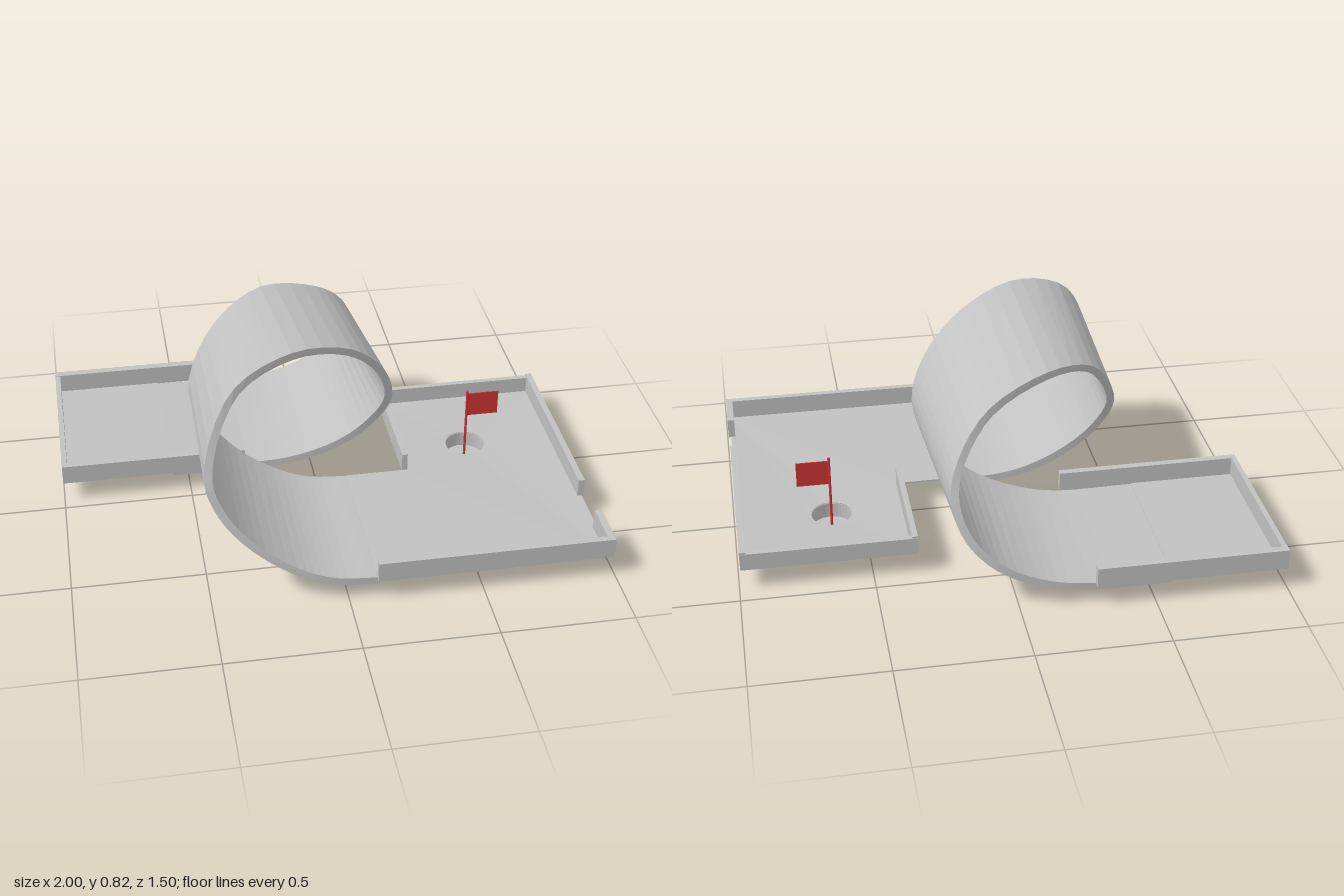
import * as THREE from 'three';

const grey = new THREE.MeshStandardMaterial({ color: 0xc0c0c0, flatShading: true });
grey.name = 'course grey';
const red = new THREE.MeshStandardMaterial({ color: 0xcc3333 });
red.name = 'flag red';

const V = (p) => new THREE.Vector3(...p);

function add(parent, name, geometry, material) {
  const mesh = new THREE.Mesh(geometry, material);
  mesh.name = name;
  parent.add(mesh);
  return mesh;
}

// Box given by its limits along each axis
function slab(parent, name, x0, x1, y0, y1, z0, z1, material = grey) {
  const g = new THREE.BoxGeometry(x1 - x0, y1 - y0, z1 - z0);
  g.translate((x0 + x1) / 2, (y0 + y1) / 2, (z0 + z1) / 2);
  return add(parent, name, g, material);
}

// Band swept between two edge curves, thickened towards the inside of the loop
function loopGeometry(front, back, thickness, steps) {
  const curves = [front, back].map((pts) => new THREE.CatmullRomCurve3(pts.map(V)));
  const sections = [];
  for (let i = 0; i <= steps; i++) {
    const [[fo, fi], [bo, bi]] = curves.map((c) => {
      const p = c.getPoint(i / steps);
      const t = c.getTangent(i / steps).setZ(0).normalize();
      return [p, new THREE.Vector3(p.x - t.y * thickness, p.y + t.x * thickness, p.z)];
    });
    sections.push([fo, fi, bi, bo]);
  }
  const pos = [];
  const quad = (a, b, c, d) => [a, b, c, a, c, d].forEach((p) => pos.push(p.x, p.y, p.z));
  for (let i = 0; i < steps; i++) {
    const s = sections[i], n = sections[i + 1];
    for (let k = 0; k < 4; k++) {
      const m = (k + 1) % 4;
      quad(s[k], n[k], n[m], s[m]);
    }
  }
  quad(...sections[0]);
  quad(...[...sections[steps]].reverse());
  const g = new THREE.BufferGeometry();
  g.setAttribute('position', new THREE.Float32BufferAttribute(pos, 3));
  g.computeVertexNormals();
  return g;
}

export function createModel() {
  const model = new THREE.Group();
  model.name = 'miniature golf loop';

  // Loop: outer line of the front edge and of the back edge
  const frontEdge = [
    [-0.57, 0.05, -0.08], [-0.25, 0.05, -0.075], [-0.08, 0.08, -0.05], [0.09, 0.155, -0.02],
    [0.21, 0.27, 0.02], [0.28, 0.43, 0.08], [0.245, 0.58, 0.12], [0.1, 0.74, 0.2],
    [-0.15, 0.82, 0.32], [-0.38, 0.74, 0.42], [-0.5, 0.49, 0.57], [-0.455, 0.34, 0.615],
    [-0.34, 0.205, 0.655], [-0.18, 0.1, 0.69], [-0.05, 0.06, 0.71], [0.11, 0.05, 0.72],
  ];
  const backEdge = [
    [-0.57, 0.05, -0.72], [-0.25, 0.05, -0.715], [-0.08, 0.075, -0.7], [0.08, 0.15, -0.68],
    [0.185, 0.26, -0.645], [0.23, 0.4, -0.595], [0.2, 0.52, -0.53], [0.07, 0.665, -0.42],
    [-0.18, 0.745, -0.31], [-0.39, 0.665, -0.16], [-0.49, 0.47, -0.07], [-0.45, 0.33, -0.02],
    [-0.34, 0.2, 0.02], [-0.18, 0.1, 0.05], [-0.05, 0.06, 0.07], [0.11, 0.05, 0.08],
  ];
  add(model, 'loop', loopGeometry(frontEdge, backEdge, 0.03, 64), grey);

  // Starting platform
  const start = new THREE.Group();
  start.name = 'startPlatform';
  model.add(start);
  slab(start, 'startFloor', -0.99, -0.57, 0.076, 0.083, -0.74, -0.06);
  slab(start, 'startEndWall', -1, -0.98, 0.08, 0.158, -0.74, -0.06);
  slab(start, 'startBackWall', -1, -0.28, 0.08, 0.16, -0.75, -0.72);
  slab(start, 'startFrontWall', -1, -0.28, 0.08, 0.157, -0.08, -0.052);

  // Hole platform
  const green = new THREE.Group();
  green.name = 'holePlatform';
  model.add(green);
  const hole = { x: 0.625, z: -0.08, r: 0.08 };
  const outline = new THREE.Shape(
    [[0.105, 0.72], [0.105, 0.08], [0.34, 0.08], [0.34, -0.415], [0.985, -0.415], [0.985, 0.735], [0.34, 0.735]]
      .map(([x, z]) => new THREE.Vector2(x, -z)));
  outline.holes.push(new THREE.Path().absarc(hole.x, -hole.z, hole.r, 0, Math.PI * 2, true));
  const floor = new THREE.ExtrudeGeometry(outline, { depth: 0.007, bevelEnabled: false, curveSegments: 16 });
  floor.rotateX(-Math.PI / 2).translate(0, 0.076, 0);
  // Dip the floor slightly around the hole
  const p = floor.attributes.position;
  for (let i = 0; i < p.count; i++) {
    if (Math.hypot(p.getX(i) - hole.x, p.getZ(i) - hole.z) < hole.r + 0.01) p.setY(i, p.getY(i) - 0.012);
  }
  floor.computeVertexNormals();
  add(green, 'holeFloor', floor, grey);
  slab(green, 'holeFrontWall', 0.105, 0.99, 0.08, 0.16, 0.72, 0.745);
  slab(green, 'holeBackWall', 0.33, 0.99, 0.08, 0.148, -0.422, -0.4);
  slab(green, 'holeInnerWall', 0.33, 0.352, 0.08, 0.155, -0.42, 0.08);
  slab(green, 'holeOuterWallBack', 0.968, 0.992, 0.08, 0.155, -0.42, 0.36);
  slab(green, 'holeOuterWallFront', 0.968, 0.995, 0.08, 0.16, 0.56, 0.745);

  // Cup under the hole
  const cup = new THREE.LatheGeometry(
    [[0, 0], [0.08, 0], [0.08, 0.068], [0.077, 0.068], [0.077, 0.008], [0, 0.008]]
      .map(([x, y]) => new THREE.Vector2(x, y)), 32);
  add(green, 'cup', cup, grey).position.set(hole.x, 0, hole.z);

  // Flag
  const flag = new THREE.Group();
  flag.name = 'flag';
  model.add(flag);
  const pole = new THREE.CylinderGeometry(0.005, 0.005, 0.315, 12);
  add(flag, 'flagPole', pole, red).position.set(hole.x, 0.165, hole.z);
  slab(flag, 'flagCloth', 0.628, 0.752, 0.208, 0.31, hole.z - 0.002, hole.z + 0.002, red);

  return model;
}
